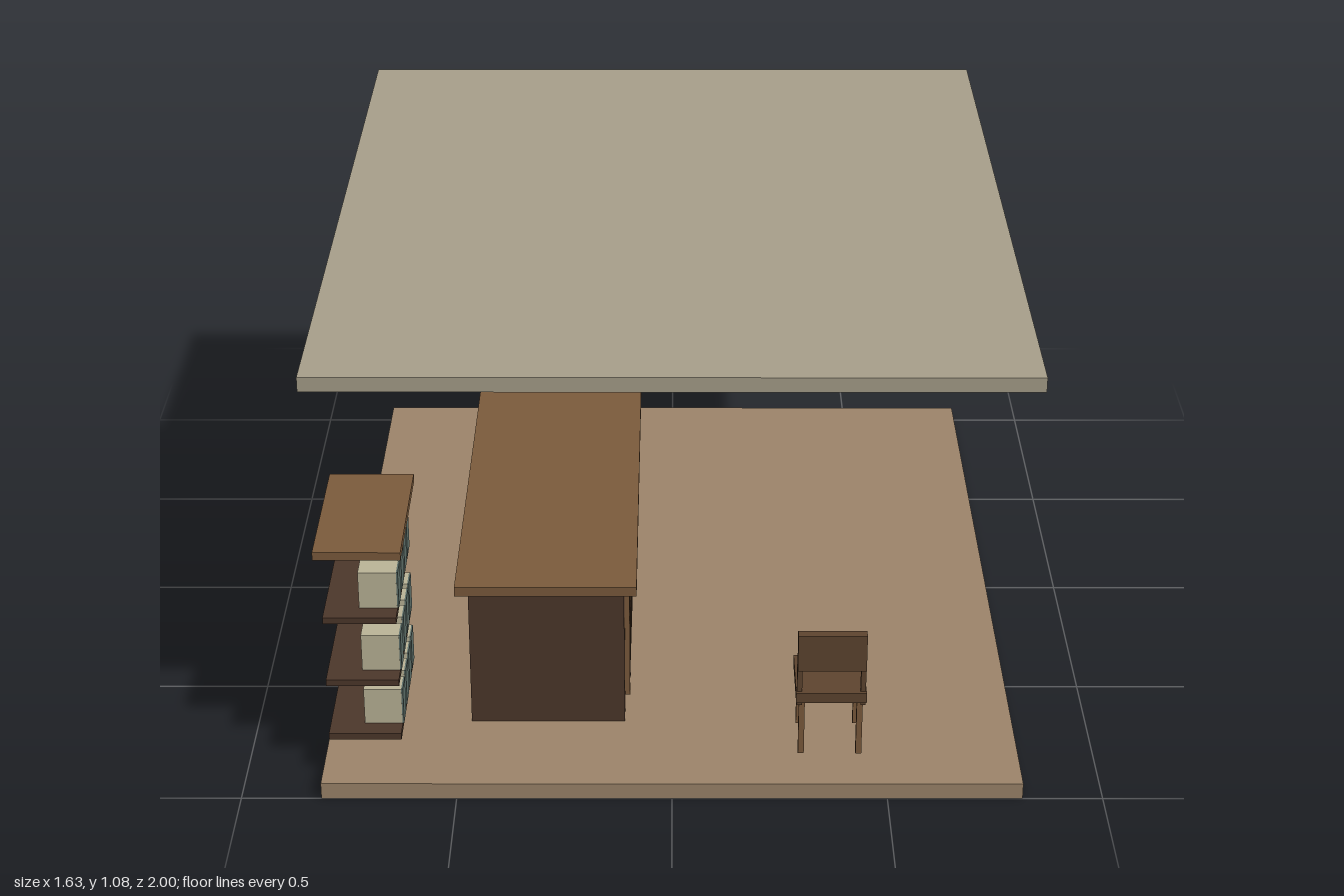
import * as THREE from 'three';

const mat = (color) => new THREE.MeshStandardMaterial({ color });

export function createModel() {
  const model = new THREE.Group();
  const floorTan = mat(0x9e866b), plaster = mat(0xa9a18c), oak = mat(0x7d5c3d), walnut = mat(0x4d382b);
  const chairWood = mat(0x5f4530), paper = mat(0xbdb699), spineGreen = mat(0x5f716b);
  const iron = mat(0x2b2b2b), steel = mat(0x9aa0a0), dialGrey = mat(0x57504a);

  const group = (name) => {
    const g = new THREE.Group();
    g.name = name;
    model.add(g);
    return g;
  };
  const add = (parent, name, geometry, material) => {
    const m = new THREE.Mesh(geometry, material);
    m.name = name;
    parent.add(m);
    return m;
  };
  // Box given by its extents on each axis
  const box = (parent, name, material, [x0, x1], [y0, y1], [z0, z1]) => {
    const m = add(parent, name, new THREE.BoxGeometry(x1 - x0, y1 - y0, z1 - z0), material);
    m.position.set((x0 + x1) / 2, (y0 + y1) / 2, (z0 + z1) / 2);
    return m;
  };
  // Round bar between two points
  const rod = (parent, name, material, a, b, r0, r1 = r0, sides = 10) => {
    const from = new THREE.Vector3(...a), to = new THREE.Vector3(...b);
    const dir = to.clone().sub(from);
    const m = add(parent, name, new THREE.CylinderGeometry(r1, r0, dir.length(), sides), material);
    m.position.copy(from).add(to).multiplyScalar(0.5);
    m.quaternion.setFromUnitVectors(new THREE.Vector3(0, 1, 0), dir.normalize());
    return m;
  };

  // Floor and ceiling slabs
  box(model, 'floor', floorTan, [-0.814, 0.814], [0, 0.04], [-1, 1]);
  box(model, 'ceiling', plaster, [-0.814, 0.814], [1.045, 1.08], [-1, 1]);

  // Reception counter with slatted side
  const counter = group('counter');
  box(counter, 'counterBody', walnut, [-0.48, -0.113], [0.04, 0.396], [-0.46, 0.725]);
  box(counter, 'counterTop', oak, [-0.51, -0.083], [0.396, 0.42], [-0.488, 0.75]);
  for (let i = 0; i < 13; i++) {
    const z = 0.656 - i * 0.0813;
    box(counter, 'counterSlat', i % 2 ? walnut : oak, [-0.114, -0.101], [0.075, 0.346], [z - 0.006, z + 0.006]);
  }

  // Shelves with rows of files
  const shelves = group('shelfUnit');
  box(shelves, 'shelfTop', oak, [-0.814, -0.614], [0.585, 0.605], [0.53, 0.92]);
  for (const y of [0.104, 0.249, 0.414]) {
    box(shelves, 'shelf', walnut, [-0.8, -0.631], [y, y + 0.016], [0.54, 0.91]);
    for (const z of [0.835, 0.75, 0.669, 0.592]) {
      box(shelves, 'file', paper, [-0.72, -0.632], [y + 0.016, y + 0.108], [z - 0.029, z + 0.029]);
      box(shelves, 'fileSpine', spineGreen, [-0.632, -0.628], [y + 0.016, y + 0.108], [z - 0.028, z + 0.028]);
    }
  }

  // Chair, its back towards +z
  const chair = group('chair');
  box(chair, 'seat', chairWood, [0.288, 0.452], [0.201, 0.226], [0.73, 0.905]);
  box(chair, 'backrest', chairWood, [0.29, 0.449], [0.293, 0.386], [0.893, 0.918]);
  for (const x of [0.302, 0.437]) {
    for (const z of [0.752, 0.885]) {
      box(chair, 'chairLeg', oak, [x - 0.007, x + 0.007], [0.055, 0.201], [z - 0.007, z + 0.007]);
    }
  }
  for (const x of [0.296, 0.444]) {
    box(chair, 'backPost', chairWood, [x - 0.006, x + 0.006], [0.19, 0.31], [0.88, 0.896]);
  }

  // Key board: two rows of hooks with hanging keys
  const keyBoard = group('keyBoard');
  box(keyBoard, 'board', walnut, [-0.792, -0.764], [0.545, 0.78], [-0.905, -0.331]);
  for (const y of [0.705, 0.59]) {
    for (const z of [-0.424, -0.558, -0.692, -0.825]) {
      rod(keyBoard, 'hook', iron, [-0.766, y + 0.005, z], [-0.737, y - 0.008, z], 0.003);
      box(keyBoard, 'key', steel, [-0.741, -0.736], [y - 0.05, y - 0.005], [z - 0.008, z + 0.008]);
    }
  }

  // Wall telephone with dial and mouthpiece
  const phone = group('wallPhone');
  box(phone, 'phoneCase', oak, [0.025, 0.144], [0.488, 0.682], [-0.997, -0.938]);
  box(phone, 'phoneLedge', walnut, [0.015, 0.154], [0.472, 0.486], [-0.995, -0.902]);
  add(phone, 'dialRing', new THREE.TorusGeometry(0.026, 0.005, 8, 32), dialGrey).position.set(0.085, 0.592, -0.936);
  rod(phone, 'mouthpieceStem', iron, [0.085, 0.688, -0.945], [0.085, 0.678, -0.917], 0.005);
  rod(phone, 'mouthpiece', iron, [0.085, 0.68, -0.922], [0.085, 0.675, -0.905], 0.006, 0.011, 16);

  return model;
}
